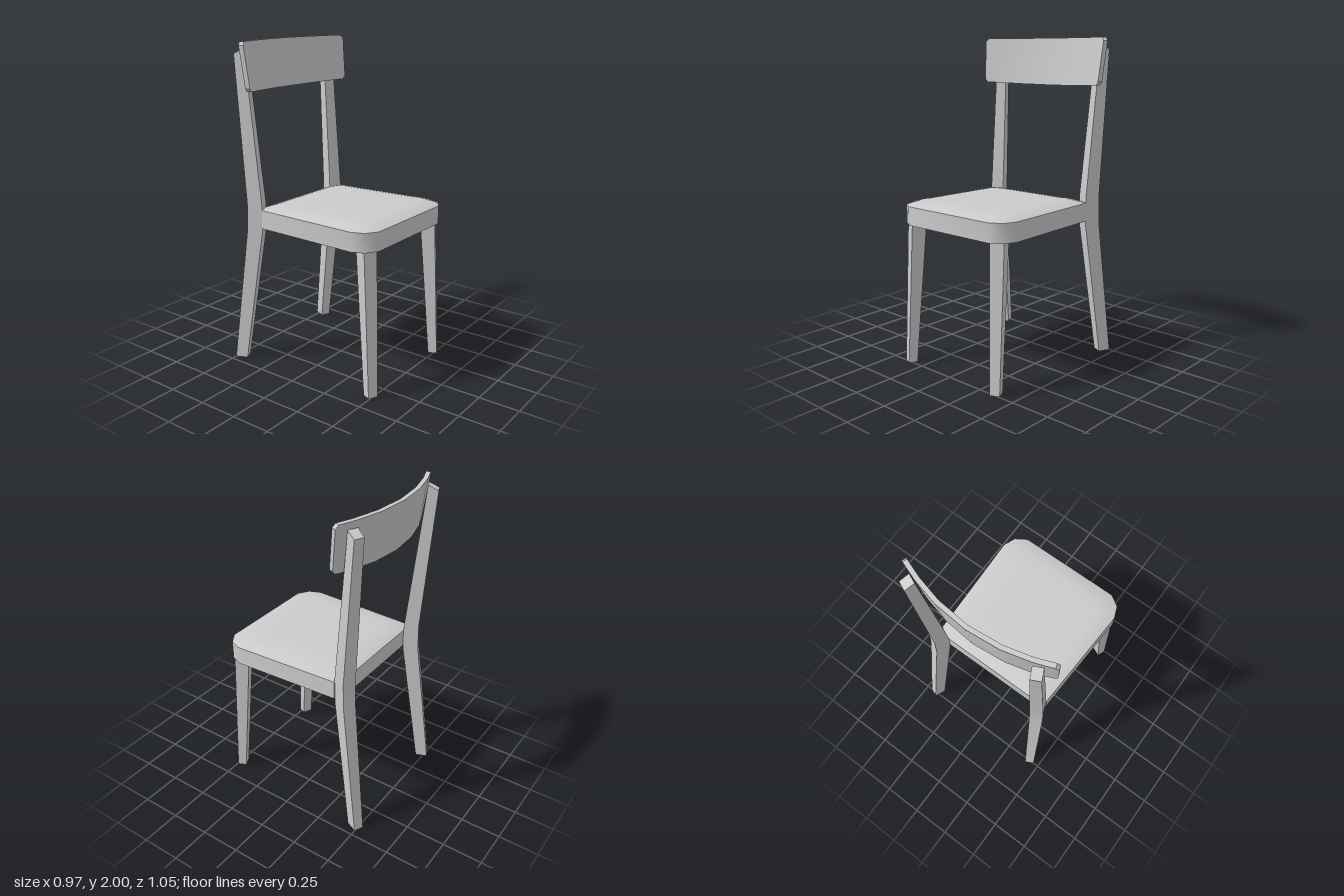
import * as THREE from 'three';
import { toCreasedNormals } from 'three/addons/utils/BufferGeometryUtils.js';

const material = new THREE.MeshStandardMaterial({ color: 0xcccccc });

function addMesh(parent, name, geometry) {
  const mesh = new THREE.Mesh(geometry, material);
  mesh.name = name;
  parent.add(mesh);
  return mesh;
}

// Skin stacked rings of [x, y, z], each counter-clockwise seen from above.
function loft(rings, crease) {
  const n = rings[0].length;
  const index = [];
  const points = rings.flat();
  const centre = (ring) => [0, 1, 2].map((k) => ring.reduce((s, p) => s + p[k], 0) / n);
  const bottom = points.push(centre(rings[0])) - 1;
  const top = points.push(centre(rings[rings.length - 1])) - 1;
  const last = (rings.length - 1) * n;
  for (let j = 0; j < n; j++) {
    const k = (j + 1) % n;
    for (let i = 0; i < last; i += n) {
      index.push(i + j, i + k, i + n + k, i + j, i + n + k, i + n + j);
    }
    index.push(bottom, k, j, top, last + j, last + k);
  }
  const geometry = new THREE.BufferGeometry();
  geometry.setAttribute('position', new THREE.Float32BufferAttribute(points.flat(), 3));
  geometry.setIndex(index);
  return toCreasedNormals(geometry, crease);
}

// Leg from sections [y, outer front x, outer front z, width, depth];
// turn is the twist of the section about the vertical.
function legGeometry(sections, turn, side, topDrop = 0) {
  const c = Math.cos(turn), s = Math.sin(turn);
  const rings = sections.map(([y, x, z, w, d], i) => {
    const drop = i === sections.length - 1 ? topDrop : 0;
    const ring = [[0, 0], [0, d], [w, d], [w, 0]].map(([a, b]) => [
      side * (x - a * c + b * s), y - (b > 0 ? drop : 0), z - a * s - b * c,
    ]);
    return side < 0 ? ring.reverse() : ring;
  });
  return loft(rings, 0.5);
}

export function createModel() {
  const chair = new THREE.Group();
  chair.name = 'chair';

  // Seat outline as [x, z], with the back corners cut to meet the legs
  const half = [[-0.32, -0.335], [-0.40, -0.30], [-0.43, 0.385], [-0.40, 0.46], [-0.33, 0.505]];
  const outline = [...half, ...half.map(([x, z]) => [-x, z]).reverse()];

  // Seat frame, open underneath
  const frame = new THREE.Shape(outline.map(([x, z]) => new THREE.Vector2(x, z)));
  const opening = [[-0.33, -0.255], [0.33, -0.255], [0.35, 0.42], [-0.35, 0.42]];
  frame.holes.push(new THREE.Path(opening.map(([x, z]) => new THREE.Vector2(x, z))));
  const frameGeometry = new THREE.ExtrudeGeometry(frame, { depth: 0.115, bevelEnabled: false });
  frameGeometry.rotateX(Math.PI / 2).translate(0, 1, 0);
  addMesh(chair, 'seatFrame', toCreasedNormals(frameGeometry, 0.75));

  // Panel recessed in the frame
  const panel = addMesh(chair, 'seatPanel', new THREE.BoxGeometry(0.74, 0.04, 0.72));
  panel.position.set(0, 0.965, 0.085);

  // Softly domed cushion, a little lower towards the back
  const cushionRings = [[0, 0], [0.02, 0.008], [0.055, 0.02], [0.1, 0.028], [0.2, 0.03]].map(([inset, rise]) =>
    outline.map(([x, z]) => {
      const pz = 0.085 + (z - 0.085) * (1 - inset / 0.42);
      return [x * (1 - inset / 0.43), 1 + rise * (0.91 + 0.18 * pz), pz];
    }));
  addMesh(chair, 'seatCushion', loft(cushionRings, 0.6));

  // Legs, mirrored; the back pair continues up as the backrest posts
  for (const side of [1, -1]) {
    const label = side > 0 ? 'left' : 'right';
    addMesh(chair, label + 'FrontLeg', legGeometry([
      [0, 0.40, 0.495, 0.062, 0.056],
      [0.89, 0.397, 0.452, 0.085, 0.09],
    ], -0.43, side));
    addMesh(chair, label + 'BackLeg', legGeometry([
      [0, 0.433, -0.43, 0.061, 0.077],
      [0.86, 0.396, -0.303, 0.081, 0.096],
      [0.94, 0.395, -0.30, 0.082, 0.096],
      [1.03, 0.396, -0.301, 0.082, 0.092],
      [1.96, 0.417, -0.39, 0.061, 0.062],
    ], 0.43, side, 0.03));
  }

  // Curved, slightly tilted top rail with clipped corners
  const columns = [-0.485, -0.468, -0.36, -0.2, 0, 0.2, 0.36, 0.468, 0.485];
  const rail = new THREE.BoxGeometry(8, 1, 1, 8, 1, 1);
  const p = rail.attributes.position;
  for (let i = 0; i < p.count; i++) {
    const x = columns[Math.round(p.getX(i)) + 4];
    const isTop = p.getY(i) > 0;
    const isFront = p.getZ(i) > 0;
    const clip = Math.abs(x) > 0.48 ? 0.02 : 0;
    const y = isTop ? 2 - clip : 1.705 + 0.05 * x * x + clip;
    const z = -0.47 + 0.445 * x * x + (isFront ? 0.027 : 0) + 0.11 * (2 - y);
    const spread = (isTop ? 1 : 0.968) * (isFront ? 0.978 : 1);
    p.setXYZ(i, x * spread, y, z);
  }
  addMesh(chair, 'topRail', toCreasedNormals(rail, 0.6));

  return chair;
}
